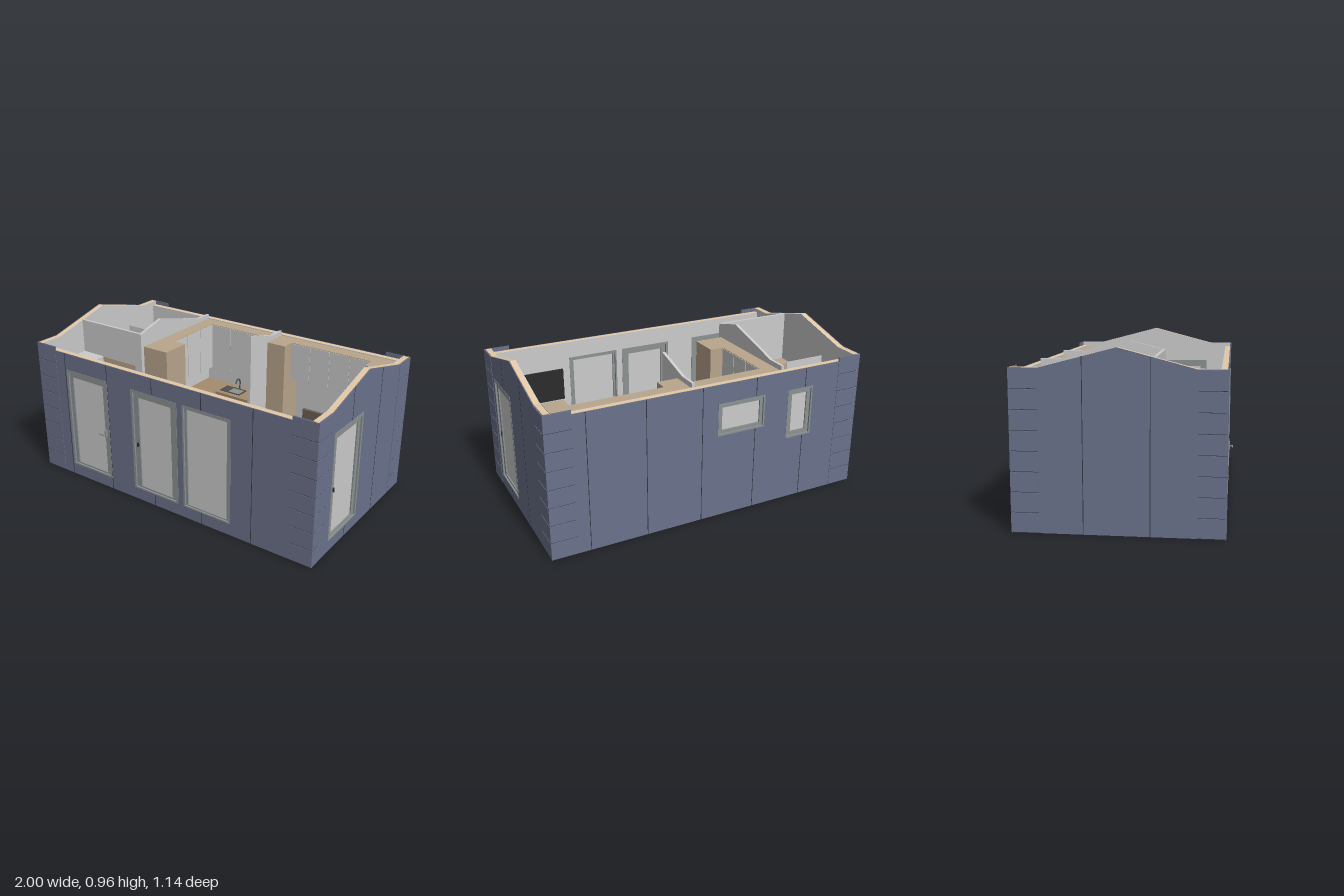
import * as THREE from 'three';
import { RoundedBoxGeometry } from 'three/addons/geometries/RoundedBoxGeometry.js';

const mat = (color) => new THREE.MeshStandardMaterial({ color, side: THREE.DoubleSide });
const M = {
  blue: mat(0x6b728b), seam: mat(0x343843), wood: mat(0xe6c8a0), cabinet: mat(0xb9a58c), counter: mat(0xa48b6c),
  grey: mat(0xcccccc), frame: mat(0x8c9293), floor: mat(0xd2bea2), dark: mat(0x505050), black: mat(0x2c2c2c),
  base: mat(0x484b4c), brown: mat(0x6f6053), table: mat(0xe2cdb0),
};
const ZC = -0.007, HZ = 0.553, FLOOR = 0.06; // middle and half depth of the cabin, floor level
const gableY = (z) => Math.min(0.965, Math.max(0.86, 0.965 - 0.2625 * Math.abs(z - ZC)));

function add(parent, name, geo, material, x = 0, y = 0, z = 0) {
  const m = new THREE.Mesh(geo, material);
  m.name = name;
  m.position.set(x, y, z);
  parent.add(m);
  return m;
}
// box given by its lower and upper bounds
const box = (p, name, m, x0, x1, y0, y1, z0, z1) =>
  add(p, name, new THREE.BoxGeometry(x1 - x0, y1 - y0, z1 - z0), m, (x0 + x1) / 2, (y0 + y1) / 2, (z0 + z1) / 2);
const cyl = (p, name, m, r, h, x, y, z, n = 16, rt = r) =>
  add(p, name, new THREE.CylinderGeometry(rt, r, h, n), m, x, y, z);
const tube = (p, name, m, pts, r) => add(p, name,
  new THREE.TubeGeometry(new THREE.CatmullRomCurve3(pts.map((a) => new THREE.Vector3(...a))), 16, r, 8), m);
function group(parent, name) {
  const g = new THREE.Group();
  g.name = name;
  parent.add(g);
  return g;
}
const poly = (pts) => new THREE.Shape(pts.map((p) => new THREE.Vector2(...p)));
const rect = ([a, b, c, d]) => poly([[a, c], [b, c], [b, d], [a, d]]);
// extruded outline with rectangular holes, between two depths
function slab(p, name, m, outline, holes, z0, z1) {
  const s = poly(outline);
  s.holes = holes.map(rect);
  return add(p, name, new THREE.ExtrudeGeometry(s, { depth: z1 - z0, bevelEnabled: false }), m, 0, 0, z0);
}
const corners = ([a, b, c, d]) => [[a, c], [b, c], [b, d], [a, d]];
const inset = ([a, b, c, d], t) => [a + t, b - t, c + t, d - t];

// window or glazed door: trim, sash and pane; handle is the local x of a lever
function opening(p, name, r, sash, pane, handle) {
  const g = group(p, name);
  slab(g, 'trim', M.frame, corners(r), [sash], -0.042, 0.002);
  slab(g, 'sash', M.frame, corners(sash), [pane], -0.03, -0.008);
  slab(g, 'pane', M.grey, corners(pane), [], -0.022, -0.016);
  if (handle !== undefined) {
    for (const s of [-1, 1]) {
      const z = -0.019 + s * 0.02;
      box(g, 'handlePlate', M.frame, handle - 0.005, handle + 0.005, 0.355, 0.4, z - 0.008, z + 0.008);
      box(g, 'handleLever', M.frame, handle - 0.035, handle + 0.005, 0.372, 0.379, z + s * 0.02, z + s * 0.026);
      box(g, 'handleNeck', M.frame, handle - 0.003, handle + 0.003, 0.372, 0.379, z - 0.02, z + 0.02);
    }
  }
}

// wall in layers, local +z outward
function wall(parent, name, skin, core, openings, seams, half, boardLength) {
  const g = group(parent, name);
  const holes = openings.map((o) => inset(o[1], 0.004));
  slab(g, 'cladding', M.blue, skin, holes, -0.006, 0);
  slab(g, 'timberCore', M.wood, core, holes, -0.034, -0.006);
  slab(g, 'innerLining', M.grey, core, holes, -0.04, -0.034);
  openings.forEach((o) => opening(g, ...o));
  for (const [x, y] of seams) {
    let y0 = 0;
    const inside = openings.find((o) => x > o[1][0] && x < o[1][1]);
    if (inside) {
      box(g, 'seam', M.seam, x - 0.002, x + 0.002, 0, inside[1][2], -0.001, 0.0006);
      y0 = inside[1][3];
    }
    box(g, 'seam', M.seam, x - 0.002, x + 0.002, y0, y, -0.001, 0.0006);
  }
  // stacked corner boards
  for (const s of [-1, 1]) for (let i = 0; i < 8; i++) {
    const a = s * half, b = s * (half - boardLength), y = i * 0.1075;
    box(g, 'cornerBoard', M.blue, Math.min(a, b), Math.max(a, b), y + 0.003, y + 0.105, -0.003, 0.0025);
    box(g, 'cornerGap', M.seam, Math.min(a, b), Math.max(a, b), y, y + 0.003, -0.002, 0.0012);
  }
  return g;
}

function walls(root) {
  const longSkin = [[-1, 0], [1, 0], [1, 0.86], [0.845, 0.86], [0.845, 0.835], [-0.845, 0.835], [-0.845, 0.86], [-1, 0.86]];
  const longCore = [[-0.96, 0], [0.96, 0], [0.96, 0.835], [-0.96, 0.835]];
  const gable = [[-HZ, 0], [HZ, 0], [HZ, 0.86], [0.4, 0.86], [0, 0.965], [-0.4, 0.86], [-HZ, 0.86]];
  const seams = [-0.77, -0.425, -0.08, 0.27, 0.61].map((x) => [x, 0.835]);
  const sideSeams = [-0.177, 0.168].map((x) => [x, 0.92]);
  const front = wall(root, 'frontWall', longSkin, longCore, [
    ['entranceDoor', [-0.76, -0.425, 0.075, 0.73], [-0.745, -0.44, 0.085, 0.715], [-0.72, -0.47, 0.095, 0.685], -0.457],
    ['patioDoor', [-0.24, 0.1, 0.075, 0.73], [-0.225, 0.085, 0.085, 0.715], [-0.19, 0.05, 0.095, 0.685]],
    ['tallWindow', [0.14, 0.47, 0.075, 0.73], [0.15, 0.46, 0.083, 0.718], [0.165, 0.44, 0.09, 0.705]],
  ], seams, 1, 0.155);
  box(front, 'patioHandle', M.black, -0.205, -0.197, 0.365, 0.39, -0.01, 0.004);
  front.position.z = ZC + HZ;
  const back = wall(root, 'backWall', longSkin, longCore, [
    ['kitchenWindow', [0.02, 0.33, 0.52, 0.72], [0.03, 0.32, 0.53, 0.71], [0.05, 0.3, 0.55, 0.69]],
    ['bathroomWindow', [0.49, 0.665, 0.405, 0.715], [0.5, 0.655, 0.415, 0.705], [0.525, 0.63, 0.44, 0.68]],
  ], seams, 1, 0.155);
  back.position.z = ZC - HZ;
  back.rotation.y = Math.PI;
  const right = wall(root, 'gableWallWithDoor', gable, gable, [
    ['sideDoor', [-0.377, -0.042, 0.07, 0.73], [-0.363, -0.057, 0.08, 0.712], [-0.332, -0.087, 0.093, 0.685]],
  ], sideSeams, HZ, 0.145);
  box(right, 'sideDoorHandle', M.black, -0.341, -0.334, 0.365, 0.39, -0.045, 0);
  right.position.set(0.997, 0, ZC);
  right.rotation.y = Math.PI / 2;
  const left = wall(root, 'plainGableWall', gable, gable, [], sideSeams, HZ, 0.145);
  left.position.set(-0.997, 0, ZC);
  left.rotation.y = -Math.PI / 2;
}

function partitions(root) {
  // partition along z that follows the roof slope
  const across = (name, x, z0, z1) => {
    const zs = [z0, -0.407, ZC, 0.393, z1].filter((z) => z >= z0 && z <= z1);
    const pts = [[-z1, FLOOR], [-z0, FLOOR], ...zs.map((z) => [-z, gableY(z)])];
    const m = slab(root, name, M.grey, pts, [], 0, 0.018);
    m.rotation.y = Math.PI / 2;
    m.position.x = x;
  };
  across('bathroomPartition', -0.475, -0.522, 0.19);
  across('bedroomPartition', 0.113, -0.522, -0.16);
  box(root, 'hallPartition', M.grey, -0.96, -0.457, FLOOR, 0.917, 0.172, 0.19);
  box(root, 'bathroomDoor', M.cabinet, -0.79, -0.51, FLOOR, 0.7, 0.168, 0.194);
  box(root, 'bathroomDoorHandle', M.black, -0.57, -0.53, 0.372, 0.379, 0.155, 0.207);
}

function kitchen(root) {
  const g = group(root, 'kitchen');
  box(g, 'baseCabinetSide', M.grey, -0.457, -0.28, FLOOR, 0.37, -0.522, -0.02);
  box(g, 'baseCabinetBack', M.grey, -0.28, 0.095, FLOOR, 0.37, -0.522, -0.355);
  box(g, 'worktopSide', M.counter, -0.457, -0.27, 0.37, 0.39, -0.522, -0.02);
  box(g, 'worktopBack', M.counter, -0.27, 0.098, 0.37, 0.39, -0.522, -0.345);
  box(g, 'tallCabinet', M.cabinet, -0.457, -0.275, FLOOR, 0.83, -0.02, 0.165);
  tube(g, 'tallCabinetHandle', M.black, [[-0.275, 0.35, 0.13], [-0.262, 0.37, 0.13], [-0.262, 0.53, 0.13], [-0.275, 0.55, 0.13]], 0.004);
  box(g, 'wallCabinetSide', M.cabinet, -0.457, -0.364, 0.52, 0.83, -0.522, -0.02);
  box(g, 'wallCabinetBack', M.cabinet, -0.364, 0.1, 0.52, 0.83, -0.522, -0.434);
  for (let i = 0; i < 3; i++) {
    box(g, 'sideCabinetFront', M.grey, -0.364, -0.36, 0.522, 0.826, -0.43 + i * 0.137, -0.297 + i * 0.137);
    box(g, 'backCabinetFront', M.grey, -0.36 + i * 0.153, -0.21 + i * 0.153, 0.522, 0.826, -0.434, -0.43);
  }
  box(g, 'hob', M.black, -0.358, -0.29, 0.39, 0.394, -0.155, -0.06);
  for (const z of [-0.13, -0.085]) cyl(g, 'hobRing', M.dark, 0.015, 0.003, -0.324, 0.395, z);
  // sink with raised rim and arched tap
  const rim = slab(g, 'sinkRim', M.dark, corners([-0.26, -0.1, 0.38, 0.47]), [[-0.2, -0.11, 0.388, 0.462]], 0, 0.005);
  rim.rotation.x = -Math.PI / 2;
  rim.position.y = 0.39;
  box(g, 'sinkBowl', M.frame, -0.2, -0.11, 0.385, 0.392, -0.462, -0.388);
  tube(g, 'tap', M.dark, [[-0.155, 0.39, -0.467], [-0.155, 0.46, -0.467], [-0.155, 0.475, -0.44], [-0.155, 0.45, -0.42]], 0.005);
}

function bedroom(root) {
  const g = group(root, 'bedroom');
  for (const [a, b] of [[0.131, 0.26], [0.81, 0.935]]) {
    box(g, 'wardrobe', M.cabinet, a, b, FLOOR, 0.83, -0.522, -0.35);
  }
  box(g, 'overheadCabinet', M.cabinet, 0.26, 0.81, 0.58, 0.83, -0.522, -0.434);
  for (let i = 0; i < 4; i++) box(g, 'overheadFront', M.grey, 0.262 + i * 0.137, 0.396 + i * 0.137, 0.582, 0.826, -0.434, -0.43);
  box(g, 'headboard', M.brown, 0.325, 0.78, FLOOR, 0.36, -0.522, -0.5);
  box(g, 'bedFrame', M.brown, 0.335, 0.77, FLOOR, 0.14, -0.5, 0.08);
  box(g, 'footboard', M.brown, 0.32, 0.78, FLOOR, 0.2, 0.075, 0.088);
  add(g, 'mattress', new RoundedBoxGeometry(0.425, 0.1, 0.575, 3, 0.02), M.dark, 0.5525, 0.19, -0.212);
  for (const x of [0.452, 0.653]) add(g, 'pillow', new RoundedBoxGeometry(0.19, 0.045, 0.11, 4, 0.02), M.grey, x, 0.255, -0.443);
}

function living(root) {
  const g = group(root, 'livingArea');
  box(g, 'mediaConsole', M.brown, 0.465, 0.952, FLOOR, 0.22, 0.395, 0.504);
  box(g, 'wallScreen', M.black, 0.52, 0.94, 0.46, 0.665, 0.49, 0.504);
  const t = group(g, 'diningSet');
  t.position.set(0.03, FLOOR, 0.288);
  cyl(t, 'tableTop', M.table, 0.137, 0.014, 0, 0.275, 0, 48);
  cyl(t, 'tablePost', M.grey, 0.014, 0.26, 0, 0.137, 0);
  cyl(t, 'tableFoot', M.grey, 0.08, 0.012, 0, 0.006, 0, 32);
  for (let i = 0; i < 4; i++) {
    const c = group(t, 'chair');
    const a = Math.PI / 4 + i * Math.PI / 2;
    c.position.set(Math.sin(a) * 0.145, 0, Math.cos(a) * 0.145);
    c.rotation.y = a; // backrest points away from the table
    cyl(c, 'seat', M.dark, 0.05, 0.014, 0, 0.165, 0, 24);
    add(c, 'backrest', new THREE.CylinderGeometry(0.062, 0.058, 0.06, 20, 1, true, -1.1, 2.2), M.black, 0, 0.27, 0);
    for (const s of [-1, 1]) {
      tube(c, 'backPost', M.black, [[s * 0.036, 0.16, 0.034], [s * 0.04, 0.22, 0.045], [s * 0.041, 0.29, 0.045]], 0.004);
      for (const z of [-1, 1]) tube(c, 'leg', M.black, [[s * 0.03, 0.16, z * 0.03], [s * 0.036, 0.08, z * 0.036], [s * 0.042, 0, z * 0.042]], 0.004);
    }
  }
}

function bathroom(root) {
  const g = group(root, 'bathroom');
  box(g, 'showerTray', M.grey, -0.955, -0.685, FLOOR, 0.085, -0.522, -0.255);
  box(g, 'showerScreen', M.grey, -0.955, -0.685, 0.085, 0.757, -0.259, -0.253);
  cyl(g, 'drain', M.dark, 0.012, 0.003, -0.92, 0.086, -0.49);
  box(g, 'toiletTank', M.grey, -0.64, -0.525, 0.19, 0.35, -0.522, -0.472);
  cyl(g, 'toiletBase', M.grey, 0.035, 0.13, -0.582, 0.125, -0.42, 24, 0.05);
  for (const [name, m, r, h, y] of [['toiletBowl', M.grey, 0.055, 0.035, 0.2], ['toiletLid', M.frame, 0.058, 0.012, 0.224]]) {
    cyl(g, name, m, r, h, -0.582, y, -0.405, 32).scale.z = 1.35;
  }
  box(g, 'vanity', M.cabinet, -0.955, -0.785, FLOOR, 0.34, -0.205, 0.17);
  const basin = slab(g, 'basin', M.grey, corners([-0.935, -0.81, 0.03, 0.185]), [[-0.92, -0.825, 0.045, 0.17]], 0, 0.03);
  basin.rotation.x = -Math.PI / 2;
  basin.position.y = 0.34;
  tube(g, 'basinTap', M.dark, [[-0.92, 0.37, -0.108], [-0.915, 0.41, -0.108], [-0.87, 0.41, -0.108]], 0.005);
  for (const z of [-0.11, 0.07]) box(g, 'vanityHandle', M.black, -0.785, -0.778, 0.28, 0.286, z - 0.02, z + 0.02);
  box(g, 'sideShelf', M.cabinet, -0.957, -0.86, 0.34, 0.6, 0.07, 0.172);
  for (let i = 0; i < 7; i++) box(g, 'towelRail', M.grey, -0.491, -0.475, 0.3 + i * 0.05, 0.31 + i * 0.05, -0.2, -0.06);
  box(root, 'hallCloset', M.grey, -0.957, -0.785, FLOOR, 0.7, 0.19, 0.505);
}

export function createModel() {
  const root = new THREE.Group();
  root.name = 'cabin';
  // floor build-up, open timber rim below
  box(root, 'floorBoards', M.floor, -0.958, 0.958, 0.03, FLOOR, -0.521, 0.507);
  box(root, 'subfloor', M.grey, -0.958, 0.958, 0.012, 0.03, -0.521, 0.507);
  box(root, 'floorUnderside', M.base, -0.94, 0.94, 0.004, 0.012, -0.503, 0.489);
  walls(root);
  partitions(root);
  kitchen(root);
  bedroom(root);
  living(root);
  bathroom(root);
  return root;
}
